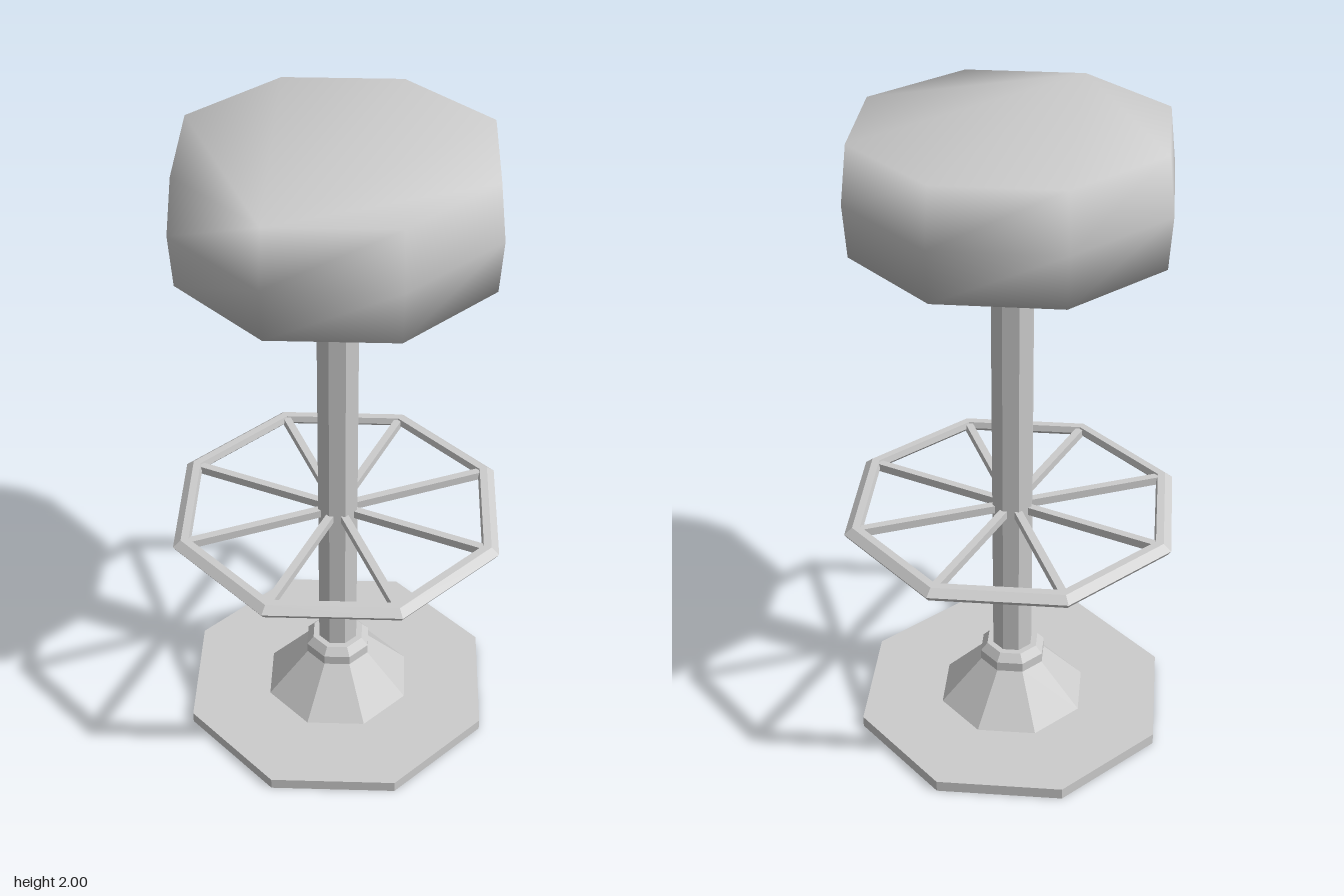
import * as THREE from 'three';

const SIDES = 8;
const flatMat = new THREE.MeshStandardMaterial({ color: 0xcccccc, flatShading: true });
const smoothMat = new THREE.MeshStandardMaterial({ color: 0xcccccc });

// Faceted eight-sided turned part from [radius, y] points, listed bottom to top
function turned(name, profile) {
  const points = profile.map(([r, y]) => new THREE.Vector2(r, y));
  const geo = new THREE.LatheGeometry(points, SIDES).toNonIndexed();
  geo.computeVertexNormals();
  const mesh = new THREE.Mesh(geo, flatMat);
  mesh.name = name;
  return mesh;
}

// Soft cushion: stacked octagons closed by flat caps, normals shared across every edge
function cushion(rings) {
  const pos = [], idx = [];
  for (const [r, y] of rings) {
    for (let i = 0; i < SIDES; i++) {
      const a = (i / SIDES) * Math.PI * 2;
      pos.push(r * Math.sin(a), y, r * Math.cos(a));
    }
  }
  for (let k = 0; k < rings.length - 1; k++) {
    for (let i = 0; i < SIDES; i++) {
      const a = k * SIDES + i, b = k * SIDES + (i + 1) % SIDES;
      idx.push(a, b, b + SIDES, a, b + SIDES, a + SIDES);
    }
  }
  const top = (rings.length - 1) * SIDES;
  for (let i = 1; i < SIDES - 1; i++) {
    idx.push(top, top + i, top + i + 1);
    idx.push(0, i + 1, i);
  }
  const geo = new THREE.BufferGeometry();
  geo.setAttribute('position', new THREE.Float32BufferAttribute(pos, 3));
  geo.setIndex(idx);
  geo.computeVertexNormals();
  const mesh = new THREE.Mesh(geo, smoothMat);
  mesh.name = 'seat';
  return mesh;
}

export function createModel() {
  const stool = new THREE.Group();
  stool.name = 'barStool';

  // Floor plate, flared foot, collar and pole
  stool.add(turned('basePlate', [[0, 0], [0.507, 0], [0.507, 0.037], [0, 0.037]]));
  stool.add(turned('baseCone', [[0.24, 0.037], [0.1, 0.19]]));
  stool.add(turned('collar', [[0.06, 0.185], [0.107, 0.185], [0.107, 0.217], [0.085, 0.242], [0.06, 0.242]]));
  stool.add(turned('pole', [[0.065, 0.03], [0.065, 1.69]]));

  // Footrest ring with a chamfered section
  const footrest = new THREE.Group();
  footrest.name = 'footrest';
  footrest.add(turned('footRing', [
    [0.475, 0.765], [0.49, 0.75], [0.52, 0.75], [0.53, 0.765], [0.505, 0.785], [0.48, 0.785], [0.475, 0.765],
  ]));

  // Spokes from the pole to each corner of the ring
  const spokeGeo = new THREE.BoxGeometry(0.45, 0.026, 0.024).translate(0.27, 0.767, 0);
  for (let i = 0; i < SIDES; i++) {
    const spoke = new THREE.Mesh(spokeGeo, flatMat);
    spoke.name = 'spoke';
    spoke.rotation.y = (i / SIDES) * Math.PI * 2;
    footrest.add(spoke);
  }
  stool.add(footrest);

  // Padded seat
  stool.add(cushion([[0.47, 1.675], [0.48, 1.83], [0.46, 2]]));
  return stool;
}
